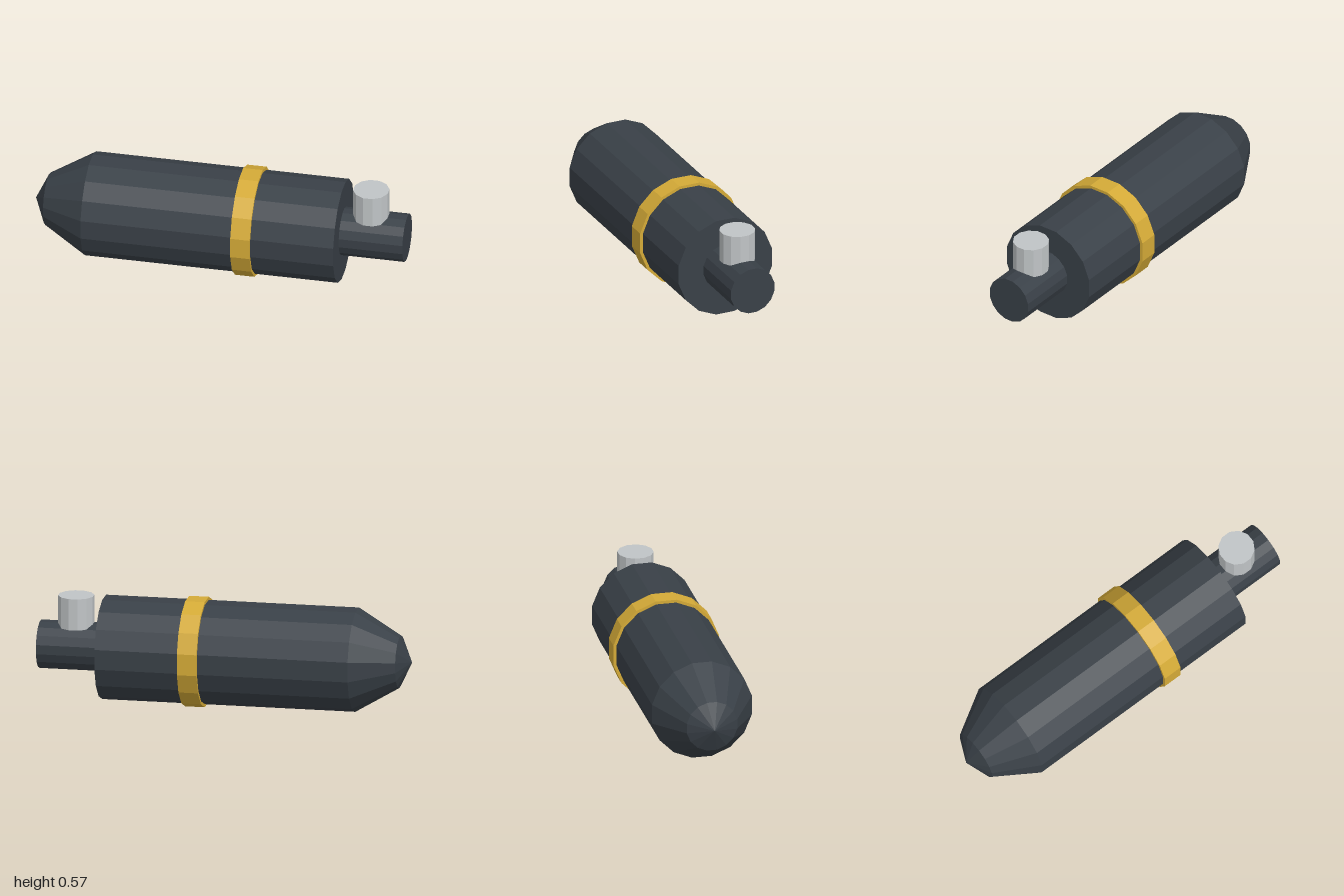
import * as THREE from 'three';

const SIDES = 16;
const AXIS_Y = 0.287;
// turns a flat-to-flat half width into a corner radius
const corner = (half, sides = SIDES) => half / Math.cos(Math.PI / sides);

function paint(name, color) {
  const m = new THREE.MeshStandardMaterial({ color, flatShading: true });
  m.name = name;
  return m;
}

// faceted solid turned around the x axis from [x, half width] pairs
function turned(name, profile, material) {
  const points = profile.map(([x, h]) => new THREE.Vector2(corner(h), x));
  const geometry = new THREE.LatheGeometry(points, SIDES, Math.PI / SIDES);
  geometry.rotateZ(-Math.PI / 2);
  const mesh = new THREE.Mesh(geometry, material);
  mesh.name = name;
  mesh.position.y = AXIS_Y;
  return mesh;
}

export function createModel() {
  const charcoal = paint('charcoal', 0x394047);
  const gold = paint('gold', 0xd4aa37);
  const silver = paint('silver', 0xc0c4c6);

  const model = new THREE.Group();
  model.name = 'model';

  // main barrel with tapered nose and blunt tip
  model.add(turned('body', [[-1, 0], [-0.935, 0.137], [-0.705, 0.271], [0.657, 0.271], [0.657, 0]], charcoal));

  // raised band around the barrel
  model.add(turned('band', [[0.105, 0.27], [0.105, 0.287], [0.21, 0.287], [0.21, 0.27]], gold));

  // rear spindle
  model.add(turned('spindle', [[0.65, 0], [0.65, 0.126], [1, 0.126], [1, 0]], charcoal));

  // upright pin on the spindle
  const r = corner(0.093, 12);
  const pinGeometry = new THREE.CylinderGeometry(r, r, 0.17, 12, 1, false, Math.PI / 12);
  const pin = new THREE.Mesh(pinGeometry, silver);
  pin.name = 'pin';
  pin.position.set(0.807, 0.478, 0);
  model.add(pin);

  return model;
}
